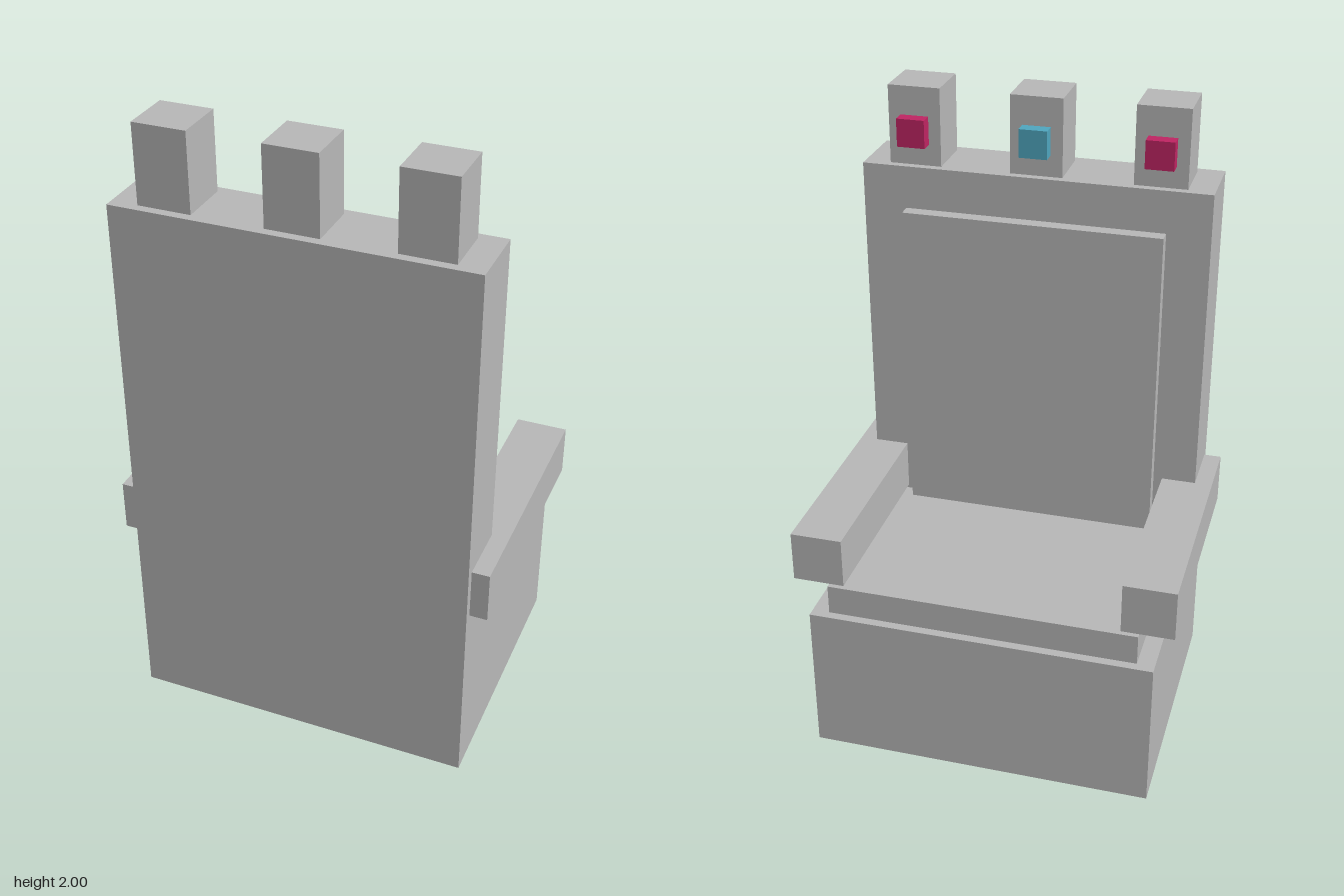
import * as THREE from 'three';

export function createModel() {
  const model = new THREE.Group();
  model.name = 'throne';

  const material = (name, color) => {
    const m = new THREE.MeshStandardMaterial({ color });
    m.name = name;
    return m;
  };
  const stone = material('stone grey', 0xb8b8b8);
  const pink = material('pink gem', 0xc02563);
  const teal = material('teal gem', 0x50a7c0);

  // Box given by its extents along each axis
  function block(name, mat, [x0, x1], [y0, y1], [z0, z1]) {
    const mesh = new THREE.Mesh(new THREE.BoxGeometry(x1 - x0, y1 - y0, z1 - z0), mat);
    mesh.position.set((x0 + x1) / 2, (y0 + y1) / 2, (z0 + z1) / 2);
    mesh.name = name;
    model.add(mesh);
  }

  // Seat and backrest; the throne opens towards -z
  block('base', stone, [-0.547, 0.547], [0, 0.497], [-0.438, 0.22]);
  block('seatCushion', stone, [-0.492, 0.492], [0.497, 0.595], [-0.41, 0.22]);
  block('backrest', stone, [-0.547, 0.547], [0, 1.755], [0.22, 0.438]);
  block('backPanel', stone, [-0.41, 0.41], [0.595, 1.62], [0.177, 0.22]);

  // Armrests running past the sides of the backrest
  block('rightArmrest', stone, [-0.602, -0.438], [0.607, 0.77], [-0.41, 0.41]);
  block('leftArmrest', stone, [0.438, 0.602], [0.607, 0.77], [-0.41, 0.41]);

  // Three posts on top, each with a gem on its seat side
  [['right', -0.383, pink], ['middle', 0, teal], ['left', 0.383, pink]].forEach(([side, x, gem]) => {
    block(side + 'Post', stone, [x - 0.082, x + 0.082], [1.755, 2], [0.245, 0.41]);
    block(side + 'Gem', gem, [x - 0.044, x + 0.044], [1.822, 1.91], [0.202, 0.245]);
  });

  return model;
}
